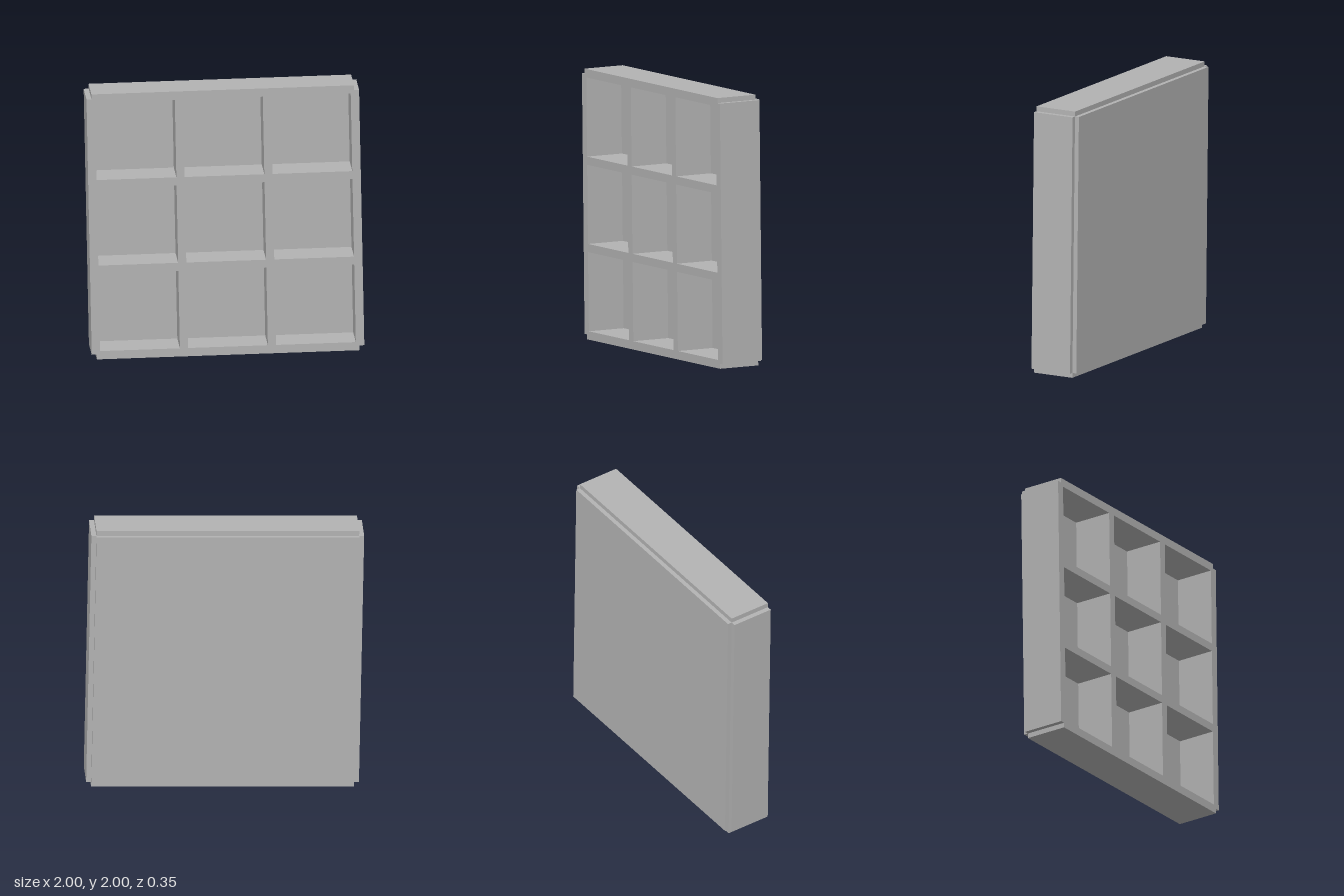
import * as THREE from 'three';

export function createModel() {
  const model = new THREE.Group();
  model.name = 'compartmentTray';
  const grey = new THREE.MeshStandardMaterial({ color: 0xb3b3b3 });
  grey.name = 'grey';

  const H = 0.981;      // half size of the square frame
  const I = 0.945;      // half size inside the corner notches
  const pitch = 0.633;  // spacing of the compartments
  const c = 0.287;      // half width of a compartment
  const front = 0.175, step = -0.143, floor = -0.115, back = -0.175;

  // Frame outline: a square with notched corners
  const outline = new THREE.Shape([
    [-I, -H], [I, -H], [I, -I], [H, -I], [H, I], [I, I],
    [I, H], [-I, H], [-I, I], [-H, I], [-H, -I], [-I, -I],
  ].map(([x, y]) => new THREE.Vector2(x, y)));

  // Three by three compartments
  for (let row = -1; row <= 1; row++) {
    for (let col = -1; col <= 1; col++) {
      const x = col * pitch, y = row * pitch;
      outline.holes.push(new THREE.Path([
        new THREE.Vector2(x - c, y - c), new THREE.Vector2(x - c, y + c),
        new THREE.Vector2(x + c, y + c), new THREE.Vector2(x + c, y - c),
      ]));
    }
  }
  const frameGeometry = new THREE.ExtrudeGeometry(outline, { depth: front - step, bevelEnabled: false });
  frameGeometry.translate(0, 0, step);
  const frame = new THREE.Mesh(frameGeometry, grey);
  frame.name = 'gridFrame';

  // Back panel closes the compartments and steps out behind the frame
  const panel = new THREE.Mesh(new THREE.BoxGeometry(2 * I, 2 * I, floor - back), grey);
  panel.name = 'backPanel';
  panel.position.z = (floor + back) / 2;

  // The whole tray leans slightly to one side
  const tray = new THREE.Group();
  tray.name = 'tray';
  tray.add(frame, panel);
  tray.rotation.z = 0.02;
  tray.position.y = 1;
  model.add(tray);
  return model;
}
